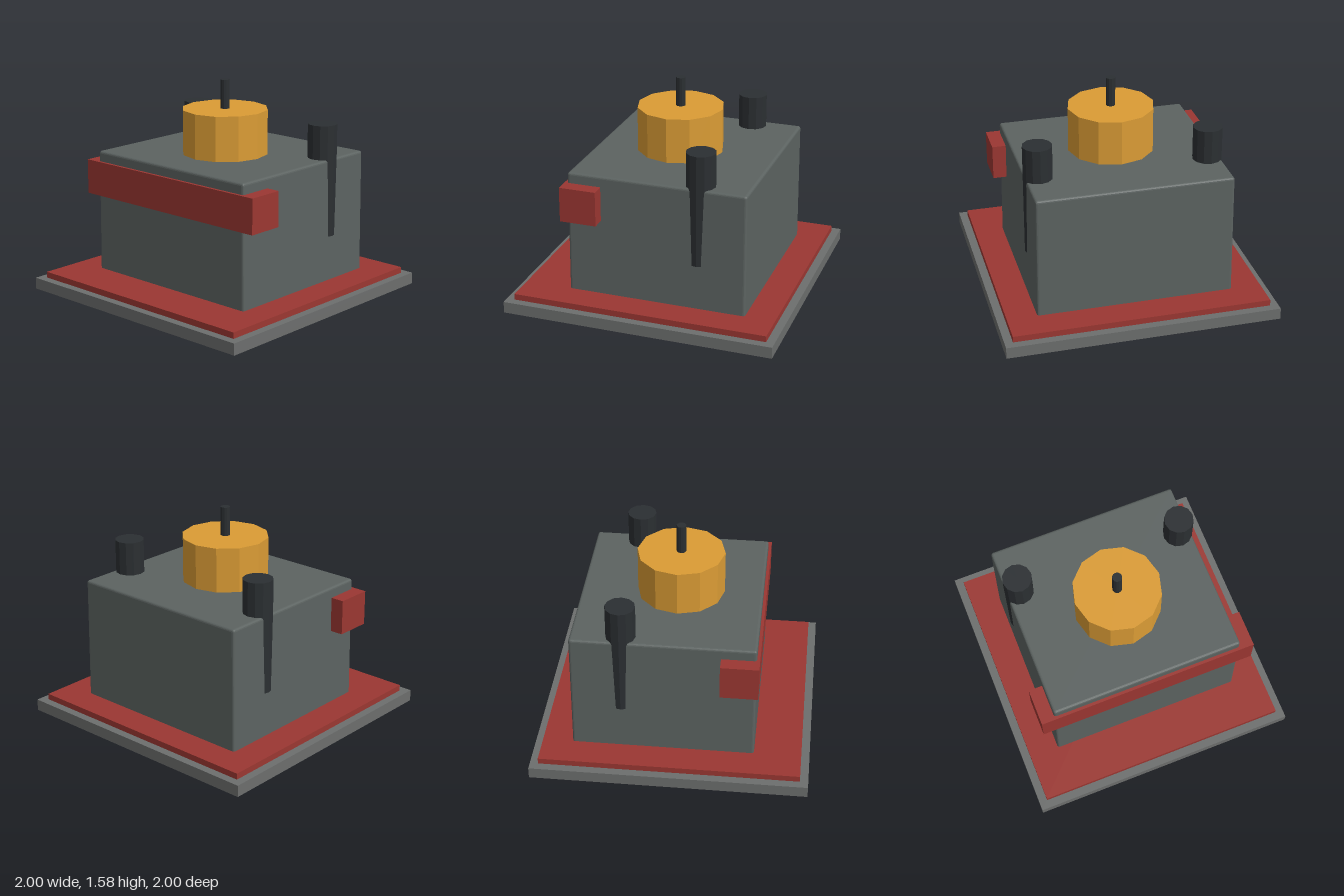
import * as THREE from 'three';
import { RoundedBoxGeometry } from 'three/addons/geometries/RoundedBoxGeometry.js';

const material = (color) => new THREE.MeshStandardMaterial({ color, flatShading: true });

export function createModel() {
  const model = new THREE.Group();
  const grey = material(0x6c6e6d);
  const red = material(0x9b3732);
  const slate = material(0x5c6361);
  const gold = material(0xdb9c35);
  const black = material(0x2b2f32);

  function add(name, geometry, mat, x, y, z) {
    const mesh = new THREE.Mesh(geometry, mat);
    mesh.name = name;
    mesh.position.set(x, y, z);
    model.add(mesh);
    return mesh;
  }
  // Box given by its bottom and top heights
  const box = (name, mat, w, d, y0, y1, z = 0) =>
    add(name, new THREE.BoxGeometry(w, y1 - y0, d), mat, 0, (y0 + y1) / 2, z);
  // Twelve-sided upright post with a corner pointing along x
  const post = (name, mat, r, y0, y1, x = 0, z = 0) =>
    add(name, new THREE.CylinderGeometry(r, r, y1 - y0, 12), mat, x, (y0 + y1) / 2, z);

  // Stepped base
  box('basePlate', grey, 2, 2, 0, 0.085);
  box('basePad', red, 1.88, 1.88, 0.085, 0.13);

  // Main block: softened edges, narrowing slightly upwards
  const y0 = 0.1, y1 = 1.035;
  const block = new RoundedBoxGeometry(1.442, y1 - y0, 1.32, 2, 0.018);
  const p = block.attributes.position;
  for (let i = 0; i < p.count; i++) {
    const t = p.getY(i) / (y1 - y0) + 0.5;
    p.setX(i, p.getX(i) * (1 - 0.011 * t));
    p.setZ(i, p.getZ(i) * (1 - 0.004 * t));
  }
  block.computeVertexNormals();
  add('mainBlock', block, slate, 0, (y0 + y1) / 2, -0.061);

  // Band across the front, wrapping past both sides
  box('frontBand', red, 1.63, 0.27, 0.7, 0.957, 0.483);

  // Central knob and its pin
  post('knob', gold, 0.317, 1.02, 1.365);
  post('knobPin', black, 0.035, 1.36, 1.578);

  // Pegs set into the sides of the block
  for (const side of [-1, 1]) {
    post(side > 0 ? 'leftPeg' : 'rightPeg', black, 0.107, 0.46, 1.284, side * 0.62, -0.362);
  }

  return model;
}
